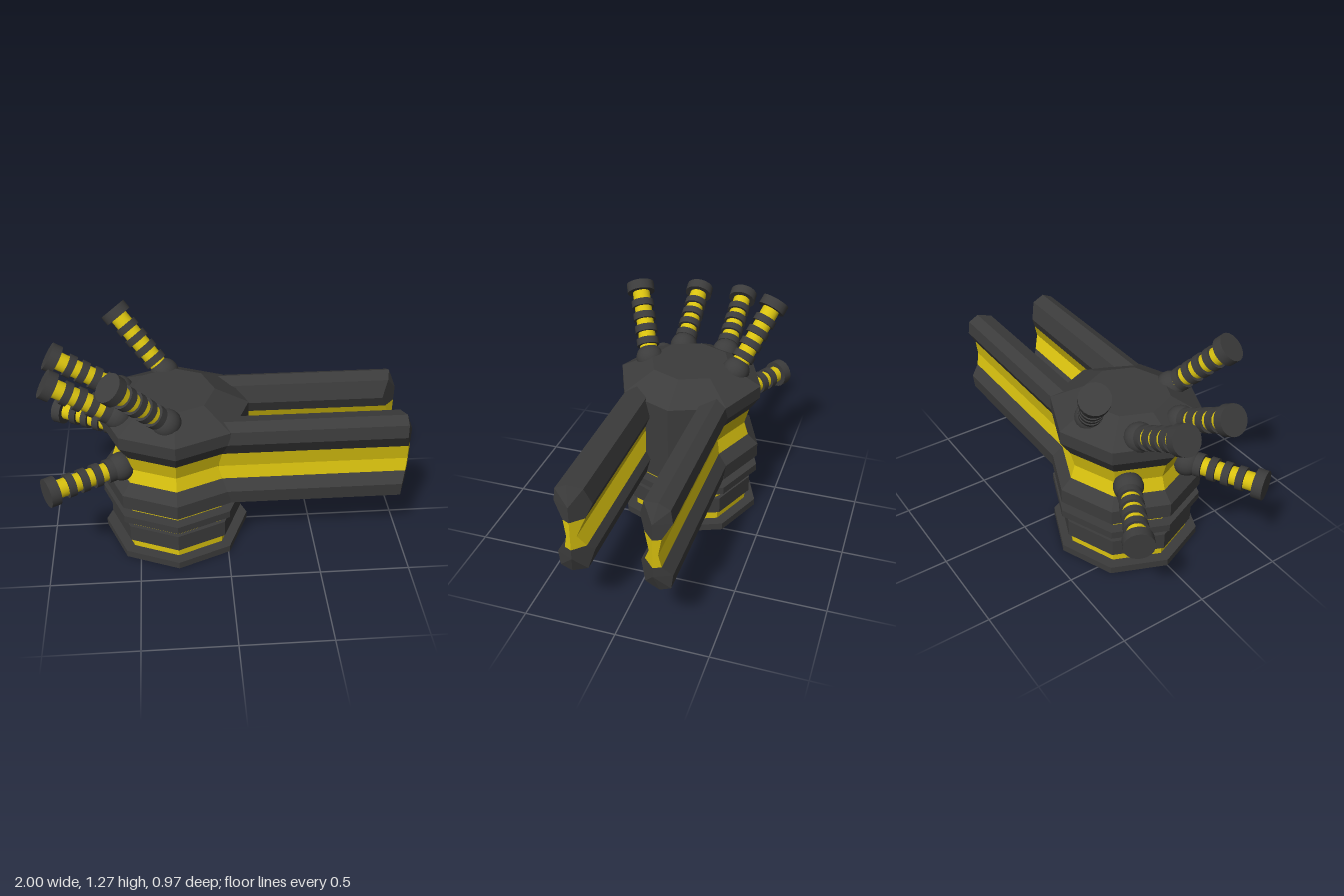
import * as THREE from 'three';

const dark = new THREE.MeshStandardMaterial({ color: 0x3c3c3c, flatShading: true });
const yellow = new THREE.MeshStandardMaterial({ color: 0xd9c20f, flatShading: true });
const darkRound = new THREE.MeshStandardMaterial({ color: 0x3c3c3c });
const yellowRound = new THREE.MeshStandardMaterial({ color: 0xd9c20f });
const CENTRE = -0.285; // x of the turret axis

function add(parent, name, geometry, material) {
  const mesh = new THREE.Mesh(geometry, material);
  mesh.name = name;
  parent.add(mesh);
  return mesh;
}

// Octagonal solid turned round the turret axis from [radius, y] points
function octagon(parent, name, profile, material) {
  const points = profile.map(([r, y]) => new THREE.Vector2(r, y));
  add(parent, name, new THREE.LatheGeometry(points, 8), material).position.x = CENTRE;
}

function disc(parent, name, r, y0, y1, material) {
  octagon(parent, name, [[0, y0], [r, y0], [r, y1], [0, y1]], material);
}

// Arm cross-section as [z, y], up the outside and down the inside
const armProfile = [
  [0.23, 0.335], [0.29, 0.36], [0.30, 0.444], [0.25, 0.50], [0.235, 0.575], [0.25, 0.667],
  [0.30, 0.756], [0.29, 0.83], [0.23, 0.86], [0.15, 0.84], [0.12, 0.74], [0.15, 0.667],
  [0.185, 0.575], [0.15, 0.50], [0.12, 0.46], [0.15, 0.355],
];
const yellowSides = [3, 4, 11, 12];

// Each profile point runs from the body to a shoulder, then to the upright tip edge
function armLine([z, y], side) {
  const tipZ = 0.21;
  let shoulder = z > tipZ ? 1 - (z - tipZ) * 0.45 : 1 - (tipZ - z);
  if (Math.abs(y - 0.597) > 0.2) shoulder = Math.min(shoulder, 0.96);
  return [
    [-0.05, y, z * side],
    [shoulder, y, z * side],
    [1, THREE.MathUtils.clamp(y, 0.444, 0.757), tipZ * side],
  ];
}

function armGeometry(side, wantYellow) {
  const positions = [];
  armProfile.forEach((point, i) => {
    if (yellowSides.includes(i) !== wantYellow) return;
    const a = armLine(point, side);
    const b = armLine(armProfile[(i + 1) % armProfile.length], side);
    for (let k = 0; k < 2; k++) {
      const quad = [a[k], a[k + 1], b[k + 1], b[k]];
      if (side < 0) quad.reverse();
      [0, 1, 2, 0, 2, 3].forEach((n) => positions.push(...quad[n]));
    }
  });
  const geometry = new THREE.BufferGeometry();
  geometry.setAttribute('position', new THREE.Float32BufferAttribute(positions, 3));
  geometry.computeVertexNormals();
  return geometry;
}

// Ringed rod with a knob, built along +y and aimed from base to tip
function makeRod(base, tip) {
  const rod = new THREE.Group();
  rod.name = 'ringedRod';
  const from = new THREE.Vector3(...base);
  const direction = new THREE.Vector3(...tip).sub(from);
  const length = direction.length();
  const cylinder = (name, r, y0, y1, material) => {
    add(rod, name, new THREE.CylinderGeometry(r, r, y1 - y0, 20), material).position.y = (y0 + y1) / 2;
  };
  cylinder('rodCore', 0.05, 0, length - 0.03, yellowRound);
  cylinder('rodKnob', 0.08, length - 0.055, length, darkRound);
  for (let i = 0; i < 4; i++) {
    const y = length - 0.13 - i * 0.078;
    cylinder('rodRing', 0.065, y - 0.02, y + 0.02, darkRound);
  }
  const socket = add(rod, 'rodSocket', new THREE.SphereGeometry(0.08, 20, 12), darkRound);
  socket.position.y = 0.02;
  rod.position.copy(from);
  rod.quaternion.setFromUnitVectors(new THREE.Vector3(0, 1, 0), direction.normalize());
  return rod;
}

export function createModel() {
  const model = new THREE.Group();
  model.name = 'turret';

  // Stacked base
  const base = new THREE.Group();
  base.name = 'base';
  model.add(base);
  disc(base, 'footPlate', 0.415, 0, 0.042, dark);
  disc(base, 'baseCore', 0.352, 0.03, 0.31, yellow);
  disc(base, 'baseBand', 0.376, 0.10, 0.20, dark);
  disc(base, 'topPlate', 0.415, 0.257, 0.30, dark);

  // Grooved body
  const body = new THREE.Group();
  body.name = 'body';
  model.add(body);
  octagon(body, 'lowerBody', [[0, 0.30], [0.23, 0.30], [0.415, 0.36], [0.415, 0.444], [0.355, 0.50]], dark);
  octagon(body, 'bodyGroove', [[0.355, 0.50], [0.33, 0.575], [0.355, 0.667]], yellow);
  octagon(body, 'upperBody', [[0.355, 0.667], [0.415, 0.756], [0.415, 0.83], [0.23, 0.925], [0, 0.925]], dark);

  // Plain front wall between the arms
  const wall = new THREE.Shape(
    [[0.13, 0], [0.068, 0.15], [-0.1, 0.15], [-0.1, -0.15], [0.068, -0.15]].map(([x, z]) => new THREE.Vector2(x, z)),
  );
  const wallGeometry = new THREE.ExtrudeGeometry(wall, { depth: 0.47, bevelEnabled: false });
  wallGeometry.rotateX(-Math.PI / 2).translate(0, 0.36, 0);
  add(body, 'innerWall', wallGeometry, dark);

  // Arms and rods, mirrored front to back
  const rods = [
    [[-0.31, 0.87, 0.25], [-0.60, 1.215, 0.41]],
    [[-0.56, 0.85, 0.13], [-0.95, 1.085, 0.14]],
    [[-0.56, 0.57, 0.18], [-0.965, 0.57, 0.40]],
  ];
  for (const side of [1, -1]) {
    const arm = new THREE.Group();
    arm.name = side > 0 ? 'frontArm' : 'backArm';
    add(arm, 'armShell', armGeometry(side, false), dark);
    add(arm, 'armGroove', armGeometry(side, true), yellow);
    model.add(arm);
    for (const [from, to] of rods) {
      model.add(makeRod([from[0], from[1], from[2] * side], [to[0], to[1], to[2] * side]));
    }
  }
  return model;
}
